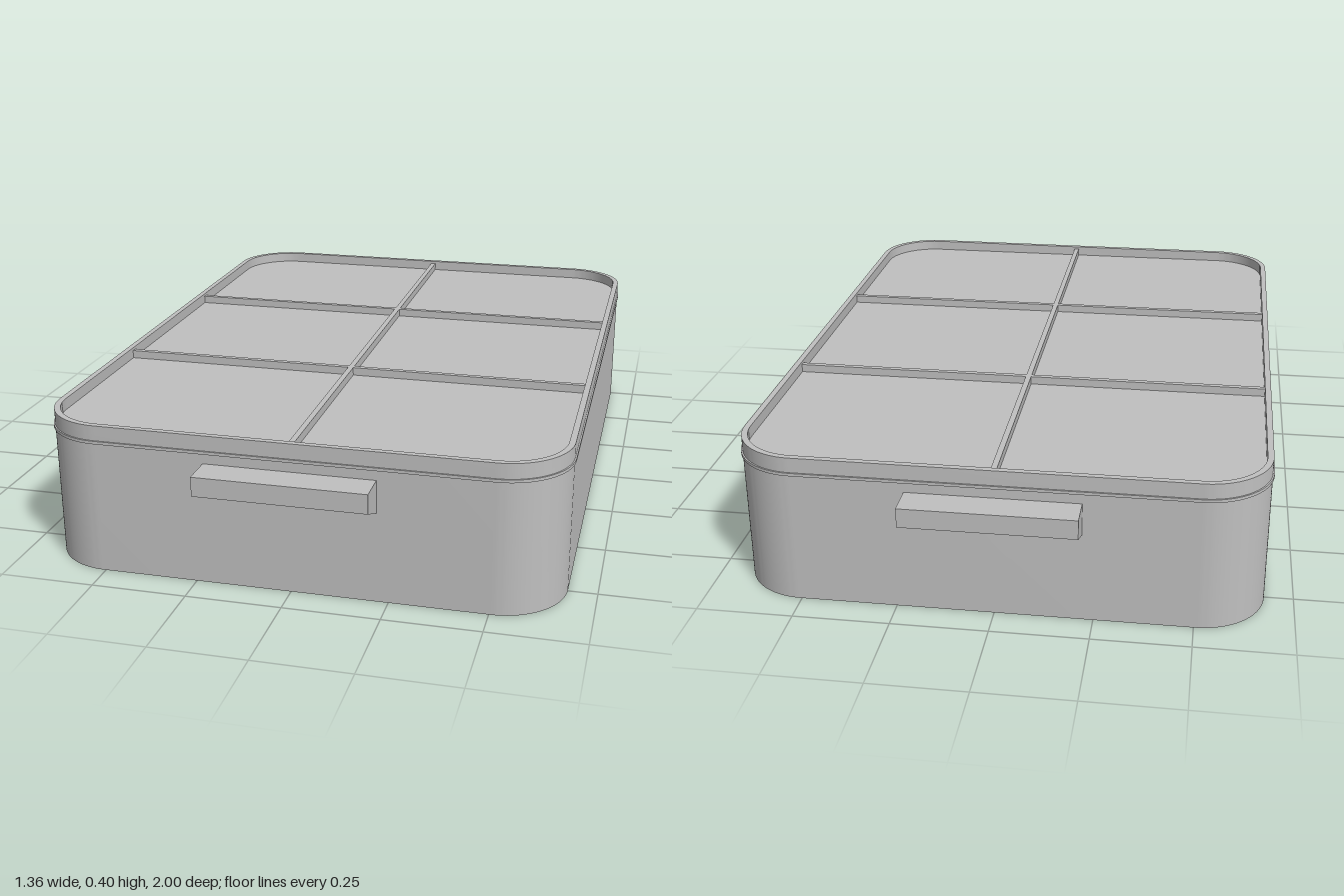
import * as THREE from 'three';
import { toCreasedNormals } from 'three/addons/utils/BufferGeometryUtils.js';

const HALF_X = 0.675, HALF_Z = 0.915, RADIUS = 0.17, WALL = 0.016;

// Rounded rectangle outline, inset from (or outset beyond) the box wall
function outline(inset, Type = THREE.Shape) {
  const x = HALF_X - inset, z = HALF_Z - inset, r = RADIUS - inset;
  const s = new Type();
  s.absarc(x - r, z - r, r, 0, Math.PI / 2);
  s.absarc(r - x, z - r, r, Math.PI / 2, Math.PI);
  s.absarc(r - x, r - z, r, Math.PI, Math.PI * 1.5);
  s.absarc(x - r, r - z, r, Math.PI * 1.5, Math.PI * 2);
  s.closePath();
  return s;
}

// Upright slab of the outline between two heights
function slab(shape, y0, y1) {
  const g = new THREE.ExtrudeGeometry(shape, { depth: y1 - y0, bevelEnabled: false, curveSegments: 16 });
  g.rotateX(-Math.PI / 2);
  g.translate(0, y0, 0);
  return toCreasedNormals(g, 0.5);
}

export function createModel() {
  const model = new THREE.Group();
  model.name = 'storageBox';
  const grey = new THREE.MeshStandardMaterial({ color: 0xc0c0c0 });
  grey.name = 'grey';

  const add = (name, geometry) => {
    const mesh = new THREE.Mesh(geometry, grey);
    mesh.name = name;
    model.add(mesh);
    return mesh;
  };

  // Body, seam bead and lid panel
  add('body', slab(outline(0), 0, 0.352));
  add('seamBead', slab(outline(-0.004), 0.352, 0.36));
  add('lidPanel', slab(outline(WALL / 2), 0.36, 0.37));

  // Raised rim around the lid
  const rim = outline(0);
  rim.holes.push(outline(WALL, THREE.Path));
  add('lidRim', slab(rim, 0.36, 0.4));

  // Ribs dividing the lid into six panels
  const ribBottom = 0.365, ribTop = 0.392, ribHeight = ribTop - ribBottom;
  const ribY = (ribTop + ribBottom) / 2;
  const inset = WALL * 0.75;
  add('longRib', new THREE.BoxGeometry(0.015, ribHeight, 2 * (HALF_Z - inset))).position.y = ribY;
  for (const z of [-0.3, 0.3]) {
    add('crossRib', new THREE.BoxGeometry(2 * (HALF_X - inset), ribHeight, 0.015)).position.set(0, ribY, z);
  }

  // Wedge handles on the front and back: profile in (z, y), swept along x
  const profile = new THREE.Shape([
    [0.91, 0.24], [HALF_Z, 0.24], [1, 0.275], [1, 0.326], [0.91, 0.326],
  ].map(([z, y]) => new THREE.Vector2(z, y)));
  const handle = new THREE.ExtrudeGeometry(profile, { depth: 0.44, bevelEnabled: false });
  handle.rotateY(-Math.PI / 2);
  handle.translate(0.22, 0, 0);
  add('frontHandle', handle);
  add('backHandle', handle).rotation.y = Math.PI;

  return model;
}
